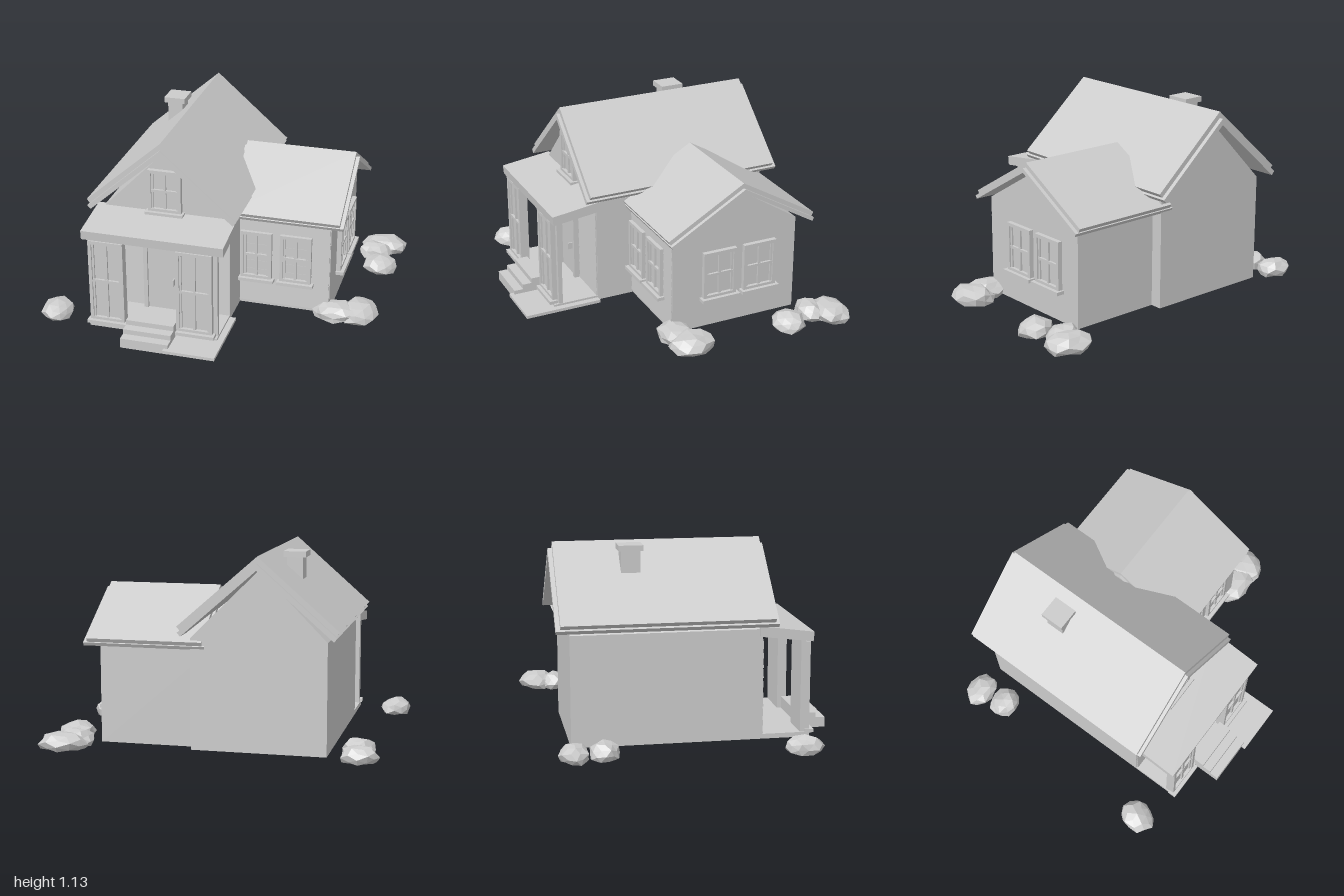
import * as THREE from 'three';

const mat = new THREE.MeshStandardMaterial({ color: 0xcccccc, flatShading: true });

function add(parent, name, geometry, x = 0, y = 0, z = 0) {
  const mesh = new THREE.Mesh(geometry, mat);
  mesh.name = name;
  mesh.position.set(x, y, z);
  parent.add(mesh);
  return mesh;
}

// Box given by its extents on each axis
function box(parent, name, x0, x1, y0, y1, z0, z1) {
  return add(parent, name, new THREE.BoxGeometry(x1 - x0, y1 - y0, z1 - z0),
    (x0 + x1) / 2, (y0 + y1) / 2, (z0 + z1) / 2);
}

// Outline in x/y, extruded from z0 to z1
function prism(parent, name, points, z0, z1) {
  const shape = new THREE.Shape(points.map(([x, y]) => new THREE.Vector2(x, y)));
  const geo = new THREE.ExtrudeGeometry(shape, { depth: z1 - z0, bevelEnabled: false });
  return add(parent, name, geo, 0, 0, z0);
}

// Folded roof layer centred on x = 0, eaves cut square to the slope
function roofLayer(parent, name, half, ridge, eave, t, z0, z1) {
  const slope = (ridge - eave) / half;
  const len = Math.hypot(1, slope);
  const nx = t * slope / len, ny = t / len, drop = t * len;
  return prism(parent, name, [
    [-half, eave], [-half + nx, eave - ny], [0, ridge - drop],
    [half - nx, eave - ny], [half, eave], [0, ridge],
  ], z0, z1);
}

// Four-pane window facing +z, its back on z = 0
function makeWindow(parent, name, w, h, x, y, z, turn = 0) {
  const g = new THREE.Group();
  g.name = name;
  g.position.set(x, y, z);
  g.rotation.y = turn;
  const a = w / 2, f = 0.02;
  const outer = new THREE.Shape([[-a, 0], [a, 0], [a, h], [-a, h]].map(p => new THREE.Vector2(...p)));
  const hole = new THREE.Path([[-a + f, f], [-a + f, h - f], [a - f, h - f], [a - f, f]].map(p => new THREE.Vector2(...p)));
  outer.holes.push(hole);
  add(g, 'windowFrame', new THREE.ExtrudeGeometry(outer, { depth: 0.028, bevelEnabled: false }));
  box(g, 'windowGlass', -a + f, a - f, f, h - f, 0, 0.008);
  box(g, 'verticalBar', -0.008, 0.008, f, h - f, 0, 0.02);
  box(g, 'horizontalBar', -a + f, a - f, h / 2 - 0.008, h / 2 + 0.008, 0, 0.022);
  // inner sash edges
  for (const s of [-1, 1]) {
    const c = s * (a - f - 0.006);
    box(g, 'sash', c - 0.006, c + 0.006, f, h - f, 0, 0.018);
  }
  box(g, 'windowSill', -a - 0.015, a + 0.015, -0.016, 0.004, 0, 0.05);
  parent.add(g);
}

// Overlapping boards leaning out at the bottom
function siding(parent, x0, x1, y0, y1, z, count) {
  const h = (y1 - y0) / count;
  for (let i = 0; i < count; i++) {
    const board = box(parent, 'sidingBoard', x0, x1, y0 + i * h, y0 + (i + 1) * h, z - 0.006, z + 0.004);
    board.rotation.x = -0.08;
  }
}

// Low faceted bush with slightly uneven corners
function bush(parent, x, z, rx, rz, h, seed) {
  const geo = new THREE.IcosahedronGeometry(1, 1);
  const p = geo.attributes.position;
  for (let i = 0; i < p.count; i++) {
    const X = p.getX(i), Y = p.getY(i), Z = p.getZ(i);
    const k = 0.93 + 0.09 * Math.sin(X * 5.1 + Y * 3.7 + Z * 4.3 + seed * 2.1);
    p.setXYZ(i, X * k * rx, Math.max(Y * k, -0.45) * h, Z * k * rz);
  }
  geo.computeVertexNormals();
  add(parent, 'bush', geo, x, 0.005 + 0.45 * h, z);
}

export function createModel() {
  const model = new THREE.Group();
  model.name = 'cottage';

  // Main house
  const main = new THREE.Group();
  main.name = 'mainHouse';
  main.position.x = -0.277;
  model.add(main);
  prism(main, 'mainWalls', [[-0.383, 0.02], [0.392, 0.02], [0.392, 0.66], [0, 1.05], [-0.383, 0.66]], -0.69, 0.4);
  roofLayer(main, 'mainRoof', 0.457, 1.13, 0.73, 0.03, -0.745, 0.46);
  roofLayer(main, 'mainRoofTrim', 0.447, 1.092, 0.7, 0.028, -0.77, 0.48);
  siding(model, -0.655, 0.11, 0.04, 0.6, 0.402, 10);
  makeWindow(model, 'gableWindow', 0.2, 0.26, -0.27, 0.685, 0.4);

  // Side wing, its ridge running along x
  const wing = new THREE.Group();
  wing.name = 'sideWing';
  wing.position.z = -0.24;
  wing.rotation.y = Math.PI / 2;
  model.add(wing);
  prism(wing, 'wingWalls', [[-0.41, 0.02], [0.38, 0.02], [0.38, 0.6], [0, 0.84], [-0.41, 0.6]], 0, 0.665);
  roofLayer(wing, 'wingRoof', 0.465, 0.905, 0.637, 0.025, 0.05, 0.72);
  roofLayer(wing, 'wingRoofTrim', 0.458, 0.876, 0.612, 0.022, 0.035, 0.742);
  siding(model, 0.115, 0.66, 0.04, 0.59, 0.172, 10);
  for (const x of [0.218, 0.458]) makeWindow(model, 'wingFrontWindow', 0.19, 0.305, x, 0.205, 0.17);
  for (const z of [-0.12, -0.378]) makeWindow(model, 'wingSideWindow', 0.21, 0.29, 0.665, 0.207, z, Math.PI / 2);

  // Chimney
  box(model, 'chimneyShaft', -0.463, -0.37, 0.88, 1.1, -0.375, -0.265);
  box(model, 'chimneyCap', -0.482, -0.352, 1.092, 1.125, -0.39, -0.25);

  // Porch roof, sloping forward; outline in z/y turned to run along x
  const porchRoof = prism(model, 'porchRoof',
    [[-0.685, 0.585], [-0.38, 0.622], [-0.38, 0.682], [-0.69, 0.64]], 0, 0.845);
  porchRoof.rotation.y = Math.PI / 2;
  porchRoof.position.x = -0.69;

  // Porch floor, posts and tall windows
  box(model, 'porchFloor', -0.66, 0.115, 0.02, 0.048, 0.39, 0.68);
  for (const [x, w] of [[-0.55, 0.21], [-0.022, 0.215]]) {
    makeWindow(model, 'porchWindow', w, 0.515, x, 0.062, 0.652);
    box(model, 'porchWindowBacking', x - w / 2, x + w / 2, 0.045, 0.6, 0.625, 0.652);
  }
  box(model, 'porchPost', 0.085, 0.112, 0.04, 0.605, 0.625, 0.65);

  // Front door
  box(model, 'doorLeaf', -0.38, -0.18, 0.04, 0.465, 0.4, 0.425);
  for (const [x0, x1] of [[-0.405, -0.38], [-0.18, -0.155]]) box(model, 'doorJamb', x0, x1, 0.04, 0.487, 0.4, 0.44);
  box(model, 'doorHead', -0.405, -0.155, 0.462, 0.487, 0.4, 0.44);
  box(model, 'doorHandle', -0.222, -0.214, 0.22, 0.26, 0.42, 0.455);

  // Steps and path
  for (let i = 0; i < 3; i++) {
    box(model, 'step', -0.417, -0.13, i ? 0.03 + i * 0.03 : 0, 0.06 + i * 0.03, 0.65, 0.842 - i * 0.055);
  }
  box(model, 'path', -0.155, 0.152, 0.018, 0.036, 0.4, 0.868);

  // Bushes
  const bushes = [
    [-0.84, -0.69, 0.115, 0.09], [-0.82, -0.525, 0.1, 0.092], [-0.9, 0.585, 0.1, 0.118],
    [0.85, -0.765, 0.152, 0.118], [0.8, -0.66, 0.11, 0.085], [0.86, -0.485, 0.115, 0.105],
    [0.71, 0.17, 0.15, 0.11], [0.84, 0.135, 0.12, 0.145],
  ];
  bushes.forEach(([x, z, rx, rz], i) => bush(model, x, z, rx, rz, 0.07, i));

  return model;
}
